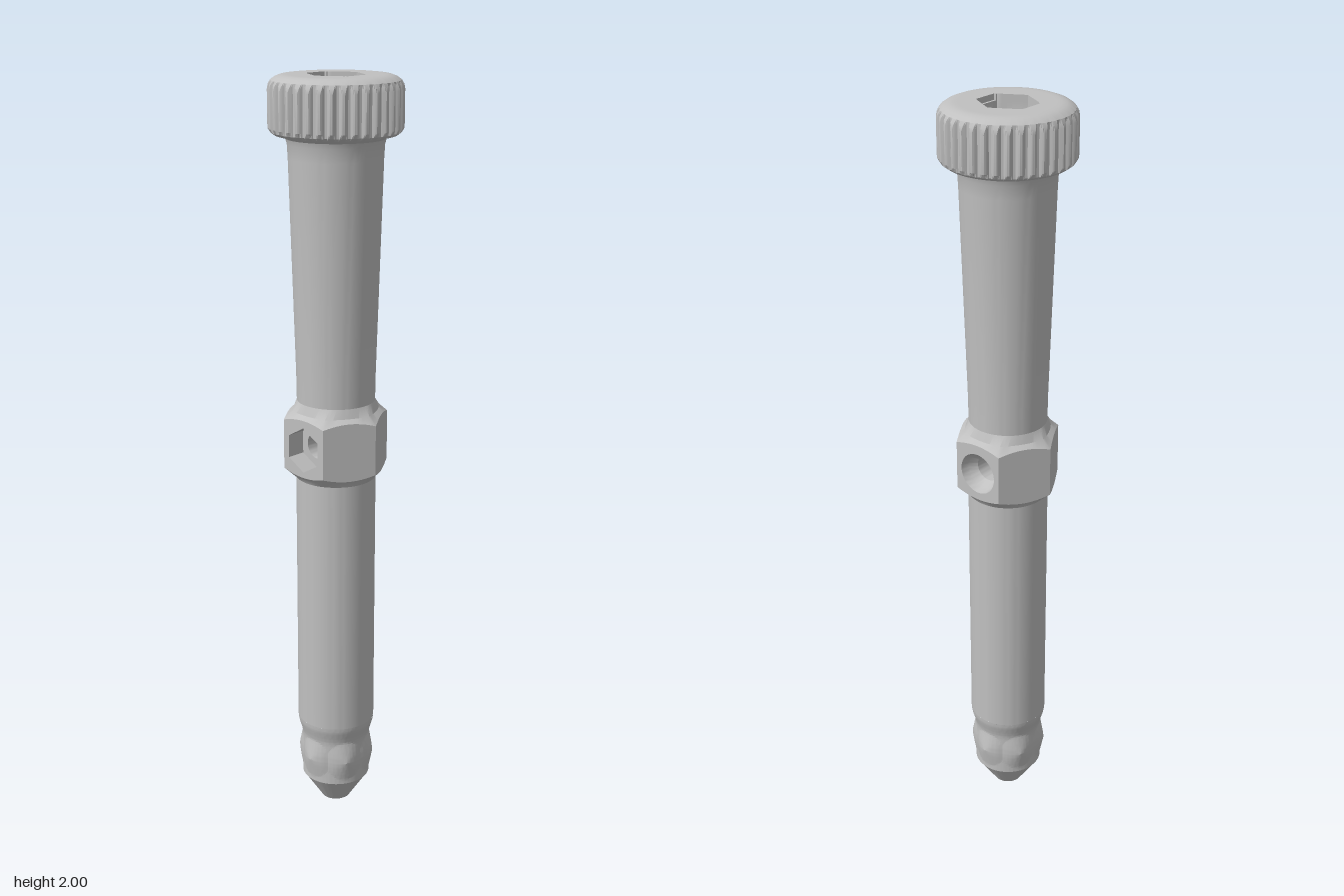
import * as THREE from 'three';
import { toCreasedNormals } from 'three/addons/utils/BufferGeometryUtils.js';

const TAU = Math.PI * 2;
const BORE = 0.035, HOLE_Y = 1.066, FLAT = 0.122, POCKET = 0.052;
const { clamp, smoothstep } = THREE.MathUtils;

// Radius of a hexagon with a corner at angle 0
const hexR = (a, apothem) => {
  const s = Math.PI / 3;
  return apothem / Math.cos((((a % s) + s) % s) - s / 2);
};

// Point ring: fn(angle) gives [radius, height]
const ring = (n, fn) => Array.from({ length: n }, (_, i) => {
  const a = (i / n) * TAU, [r, y] = fn(a);
  return new THREE.Vector3(r * Math.sin(a), y, r * Math.cos(a));
});

// Skin over closed rings; rings going up face outward, going down face inward
function loft(rings, crease = 0.45) {
  const n = rings[0].length, pos = [], idx = [];
  rings.forEach(r => r.forEach(p => pos.push(p.x, p.y, p.z)));
  for (let i = 0; i < rings.length - 1; i++) {
    for (let j = 0; j < n; j++) {
      const k = (j + 1) % n, a = i * n + j, b = i * n + k;
      idx.push(a, b, b + n, a, b + n, a + n);
    }
  }
  const g = new THREE.BufferGeometry();
  g.setAttribute('position', new THREE.Float32BufferAttribute(pos, 3));
  g.setIndex(idx);
  return toCreasedNormals(g, crease);
}

const turned = (profile, n = 72) => loft(profile.map(([r, y]) => ring(n, () => [r, y])));

export function createModel() {
  const model = new THREE.Group();
  const steel = new THREE.MeshStandardMaterial({ color: 0xc0c0c0 });
  steel.name = 'steel grey';
  const add = (name, geo, parent = model) => {
    const m = new THREE.Mesh(geo, steel);
    m.name = name;
    parent.add(m);
    return m;
  };

  // Tapered tip with open end
  add('tip', turned([[BORE, 0], [0.04, 0], [0.092, 0.08]]));

  // Neck with six pointed detents
  const neck = [];
  for (let i = 0; i <= 36; i++) {
    const y = 0.08 + i * 0.005;
    const base = 0.093 + 0.012 * smoothstep(y, 0.2, 0.26);
    neck.push(ring(144, a => {
      const s = Math.PI / 3;
      const off = (((a % s) + s) % s) - s / 2;
      const d = Math.hypot(off * 0.098, y - 0.15);
      return [Math.min(0.105, base + 0.012 * Math.max(0, 1 - d / 0.058)), y];
    }));
  }
  add('detentNeck', loft(neck, 0.13));

  // Shafts below and above the collar
  add('lowerShaft', turned([[0.105, 0.26], [0.105, 0.97]]));
  add('upperShaft', turned([[0.102, 1.18], [0.103, 1.25], [0.119, 1.8], [0.121, 1.835], [0.125, 1.848], [0.135, 1.855]]));

  // Hexagonal collar with bowed edges
  const collar = new THREE.Group();
  collar.name = 'hexCollar';
  model.add(collar);
  const corner = FLAT / Math.cos(Math.PI / 6);
  const topY = r => 1.135 + (corner - r) * 0.6;
  const lowY = r => 1.002 - (corner - r) * 0.6;
  const hexRing = f => ring(72, a => {
    const r = hexR(a, FLAT);
    return [r, f(r)];
  });
  add('collarTopFillet', loft([
    hexRing(topY),
    ring(72, a => [0.102 + (hexR(a, FLAT) - 0.102) * 0.4, 1.156]),
    ring(72, () => [0.102, 1.18]),
  ]), collar);
  add('collarLowerFillet', loft([
    ring(72, () => [0.105, 0.97]),
    ring(72, a => [0.105 + (hexR(a, FLAT) - 0.105) * 0.4, 0.983]),
    hexRing(lowY),
  ]), collar);

  const half = FLAT * Math.tan(Math.PI / 6);
  for (let k = 0; k < 6; k++) {
    const angle = Math.PI / 6 + k * Math.PI / 3;
    const low = [], top = [];
    for (let i = -6; i <= 6; i++) {
      const u = half * Math.tan(i * Math.PI / 36) / Math.tan(Math.PI / 6), r = Math.hypot(u, FLAT);
      low.push(new THREE.Vector2(u, lowY(r)));
      top.unshift(new THREE.Vector2(u, topY(r)));
    }
    const shape = new THREE.Shape([...low, ...top]);
    if (k === 1 || k === 4) {
      shape.holes.push(new THREE.Path(Array.from({ length: 48 }, (_, i) => {
        const a = (i / 48) * TAU, r = k === 1 ? 0.055 : hexR(a, POCKET);
        return new THREE.Vector2(r * Math.sin(a), HOLE_Y + r * Math.cos(a));
      })));
    }
    add('collarFlat', new THREE.ShapeGeometry(shape).translate(0, 0, FLAT).rotateY(angle), collar);
  }

  // Cross hole: round countersink on +x, hexagonal pocket on -x
  const crossRing = fn => ring(48, fn).map(p => new THREE.Vector3(p.y, HOLE_Y + p.z, p.x));
  const meet = a => BORE * Math.abs(Math.cos(a));
  add('roundCrossHole', loft([
    crossRing(() => [0.055, FLAT]),
    crossRing(() => [0.05, 0.1]),
    crossRing(() => [BORE, 0.08]),
    crossRing(a => [BORE, meet(a)]),
  ]), collar);
  add('hexCrossPocket', loft([
    crossRing(a => [BORE, -meet(a)]),
    crossRing(() => [BORE, -0.07]),
    crossRing(a => [hexR(a, POCKET), -0.07]),
    crossRing(a => [hexR(a, POCKET), -FLAT]),
  ]), collar);

  // Long bore, split where the cross hole passes through it
  const cut = a => BORE * Math.abs(Math.sin(a));
  add('upperBore', loft([ring(48, () => [BORE, 1.87]), ring(48, a => [BORE, HOLE_Y + cut(a)])]));
  add('lowerBore', loft([ring(48, a => [BORE, HOLE_Y - cut(a)]), ring(48, () => [BORE, 0])]));

  // Knurled head with rounded rim
  const knurl = a => {
    const f = ((a / TAU) * 36) % 1;
    return 0.159 + 0.009 * clamp((Math.abs(f - 0.5) - 0.1) / 0.25, 0, 1);
  };
  const headProfile = [[0.135, 1.855], [0.152, 1.857], [0.162, 1.864], [0.168, 1.874], [0.168, 1.966],
    [0.166, 1.977], [0.16, 1.987], [0.15, 1.994], [0.138, 1.9985], [0.125, 2], [0.115, 2]];
  add('knurledHead', loft(headProfile.map(([r, y]) => ring(360, a => [Math.min(r, knurl(a)), y])), 0.4));

  // Hexagonal drive socket with a shallow notch on two sides
  const quarter = [[0.073, 0], [0.037, 0.064], [0.033, 0.064], [0.033, 0.07]];
  const corners = [
    ...quarter,
    ...quarter.slice(1).reverse().map(([x, z]) => [-x, z]),
    [-0.073, 0],
    ...quarter.slice(1).map(([x, z]) => [-x, -z]),
    ...quarter.slice(1).reverse().map(([x, z]) => [x, -z]),
  ].reverse();
  const outline = corners.flatMap(([x, z], i) => {
    const [x2, z2] = corners[(i + 1) % corners.length];
    return Array.from({ length: 6 }, (_, s) => [x + (x2 - x) * s / 6, z + (z2 - z) * s / 6]);
  });
  const socketRing = (y, depth) => outline.map(([x, z]) => new THREE.Vector3(x, y, clamp(z, -depth, depth)));
  const boreRing = socketRing(0, 0.064).map(p => p.setLength(BORE).setY(1.87));
  add('driveSocket', loft([
    socketRing(2, 0.07), socketRing(1.985, 0.07), socketRing(1.985, 0.064), socketRing(1.9, 0.064), boreRing,
  ], 0.8));

  // Flat top of the head around the socket
  const face = new THREE.Shape().absarc(0, 0, 0.115, 0, TAU);
  face.holes.push(new THREE.Path(corners.map(([x, z]) => new THREE.Vector2(x, -z))));
  add('headTop', new THREE.ShapeGeometry(face, 180).rotateX(-Math.PI / 2).translate(0, 2, 0));

  return model;
}
